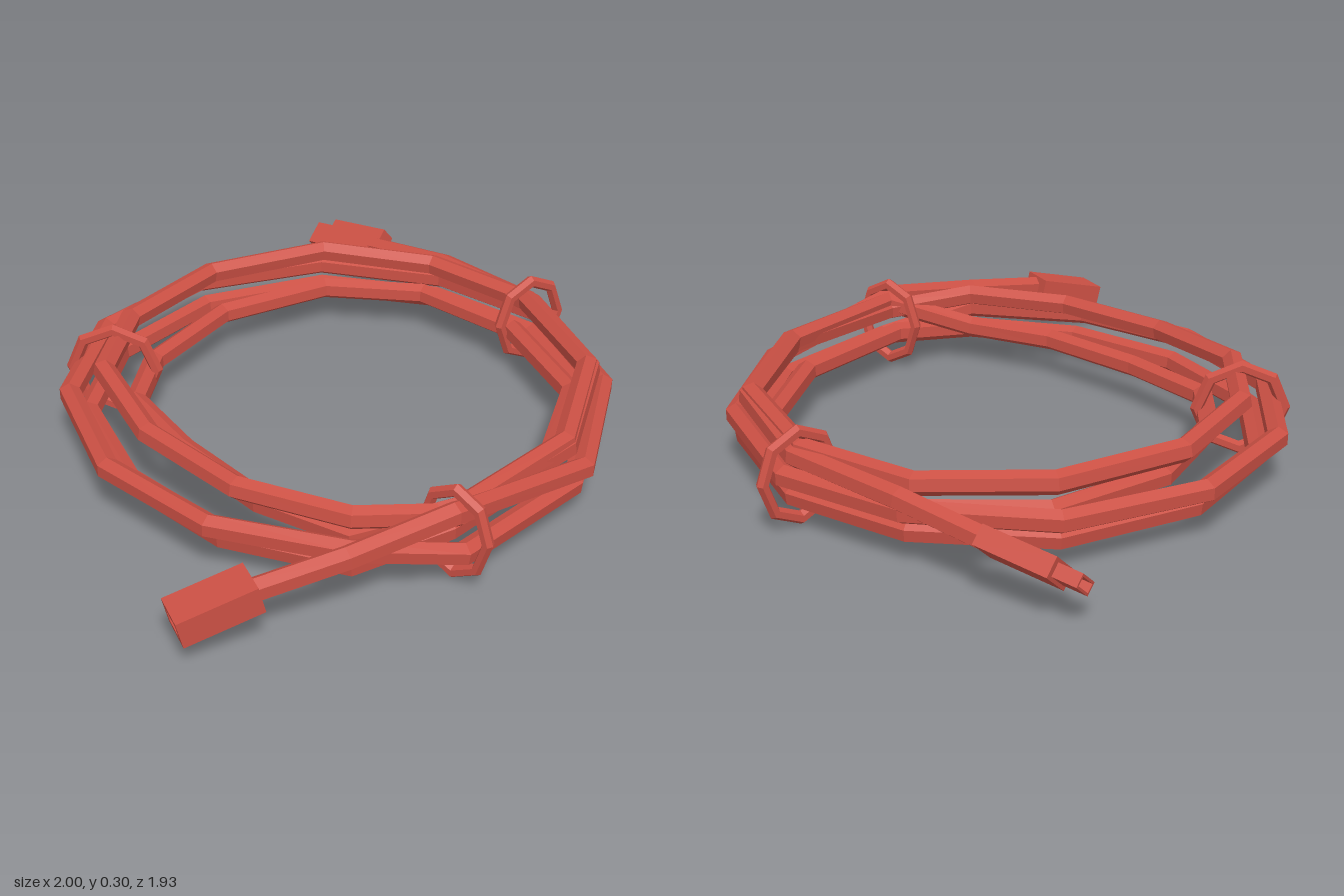
import * as THREE from 'three';

// Straight-segment path whose samples fall exactly on its points
class Polyline extends THREE.Curve {
  constructor(points) { super(); this.points = points; }
  getPoint(t, target = new THREE.Vector3()) {
    const p = this.points, f = t * (p.length - 1);
    const i = Math.min(Math.floor(f + 1e-6), p.length - 2);
    return target.lerpVectors(p[i], p[i + 1], f - i);
  }
  getPointAt(t, target) { return this.getPoint(t, target); }
  getTangentAt(t, target = new THREE.Vector3()) {
    const p = this.points, i = Math.round(t * (p.length - 1));
    const a = p[Math.max(i - 1, 0)], b = p[i], c = p[Math.min(i + 1, p.length - 1)];
    const before = b.clone().sub(a).normalize(), after = c.clone().sub(b).normalize();
    return target.copy(before).add(after).normalize();
  }
}

// Outer and inner limits of the coil, [x, z], starting at the front tie
const OUTER = [[-0.17, 0.9], [0.33, 0.82], [0.72, 0.5], [0.9, 0.03], [0.82, -0.37], [0.56, -0.71],
  [0.14, -0.845], [-0.29, -0.745], [-0.61, -0.44], [-0.75, 0], [-0.69, 0.42], [-0.46, 0.75]];
const INNER = [[-0.15, 0.79], [0.29, 0.71], [0.65, 0.44], [0.79, 0.02], [0.73, -0.36], [0.49, -0.6],
  [0.1, -0.65], [-0.26, -0.51], [-0.45, -0.32], [-0.49, 0], [-0.48, 0.37], [-0.38, 0.66]];
// One entry per turn: how far inward it lies, and its height
const TURNS = [[0, 0.16], [0.27, 0.096], [1, 0.13], [0.54, 0.225]];

export function createModel() {
  const model = new THREE.Group();
  model.name = 'coiledCable';
  const red = new THREE.MeshStandardMaterial({ color: 0xcb5044 });
  red.name = 'cable red';

  const part = (geometry, name, parent = model) => {
    const flat = geometry.index ? geometry.toNonIndexed() : geometry;
    flat.computeVertexNormals();
    const mesh = new THREE.Mesh(flat, red);
    mesh.name = name;
    parent.add(mesh);
    return mesh;
  };

  // Cable: tail, four turns, then the second tail
  const v = (x, y, z) => new THREE.Vector3(x, y, z);
  const at = (i, inward, y) => {
    const [a, b] = [OUTER[i], INNER[i]];
    return v(a[0] + (b[0] - a[0]) * inward, y, a[1] + (b[1] - a[1]) * inward);
  };
  const path = [v(-0.8, 0.16, 0.735), v(-0.52, 0.195, 0.81), v(-0.2, 0.235, 0.865)];
  TURNS.forEach(([inward, y], k) => {
    for (let i = k === 0 ? 1 : 0; i < 12; i++) {
      const lift = k === 3 && i >= 5 && i <= 8 ? 0.016 : 0;
      path.push(at(i, inward, y + lift));
    }
  });
  path.push(at(0, 0.6, 0.2), at(1, 0.5, 0.21), at(2, 0.45, 0.215),
    v(0.86, 0.21, 0.03), v(0.835, 0.205, -0.38), v(0.785, 0.165, -0.7));
  part(new THREE.TubeGeometry(new Polyline(path), path.length - 1, 0.035, 6, false), 'cable');

  // Ties: upright rings around the bundle, [x, z, heading, half width]
  const ties = [[0.858, 0.022, -0.08, 0.137], [-0.17, 0.84, 1.81, 0.125], [-0.408, -0.507, 2.4, 0.152]];
  for (const [x, z, heading, halfWidth] of ties) {
    const ring = new THREE.TorusGeometry(0.13, 0.02, 6, 8);
    ring.scale((halfWidth - 0.01) / 0.14, 1, 1);
    const tie = part(ring, 'cableTie');
    tie.position.set(x, 0.155, z);
    tie.rotation.y = heading;
  }

  // Plugs: local +z points away from the cable
  const plug = (name, position, direction, roll) => {
    const group = new THREE.Group();
    group.name = name;
    group.position.copy(position);
    group.lookAt(position.clone().add(direction));
    group.rotateZ(roll);
    model.add(group);
    return group;
  };
  const rectangle = (PathType, w, h) => new PathType([
    new THREE.Vector2(-w / 2, -h / 2), new THREE.Vector2(w / 2, -h / 2),
    new THREE.Vector2(w / 2, h / 2), new THREE.Vector2(-w / 2, h / 2)]);

  // Open-ended rectangular sleeve with a solid back
  const sleeve = (group, name, w, h, holeW, holeH, start, length) => {
    const shape = rectangle(THREE.Shape, w, h);
    shape.holes.push(rectangle(THREE.Path, holeW, holeH));
    const geometry = new THREE.ExtrudeGeometry(shape, { depth: length, bevelEnabled: false });
    part(geometry, name, group).position.z = start;
  };

  const socket = plug('socketEnd', v(-0.87, 0.137, 0.705), v(-0.22, -0.058, -0.065), 0);
  part(new THREE.BoxGeometry(0.125, 0.08, 0.17), 'socketBody', socket).position.z = -0.03;
  sleeve(socket, 'socketMouth', 0.125, 0.08, 0.085, 0.04, 0.055, 0.06);

  const connector = plug('connectorEnd', v(0.77, 0.153, -0.78), v(-0.045, -0.03, -0.235), -0.7);
  part(new THREE.BoxGeometry(0.12, 0.06, 0.23), 'connectorBody', connector);
  sleeve(connector, 'connectorTip', 0.08, 0.04, 0.066, 0.026, 0.115, 0.075);

  return model;
}
